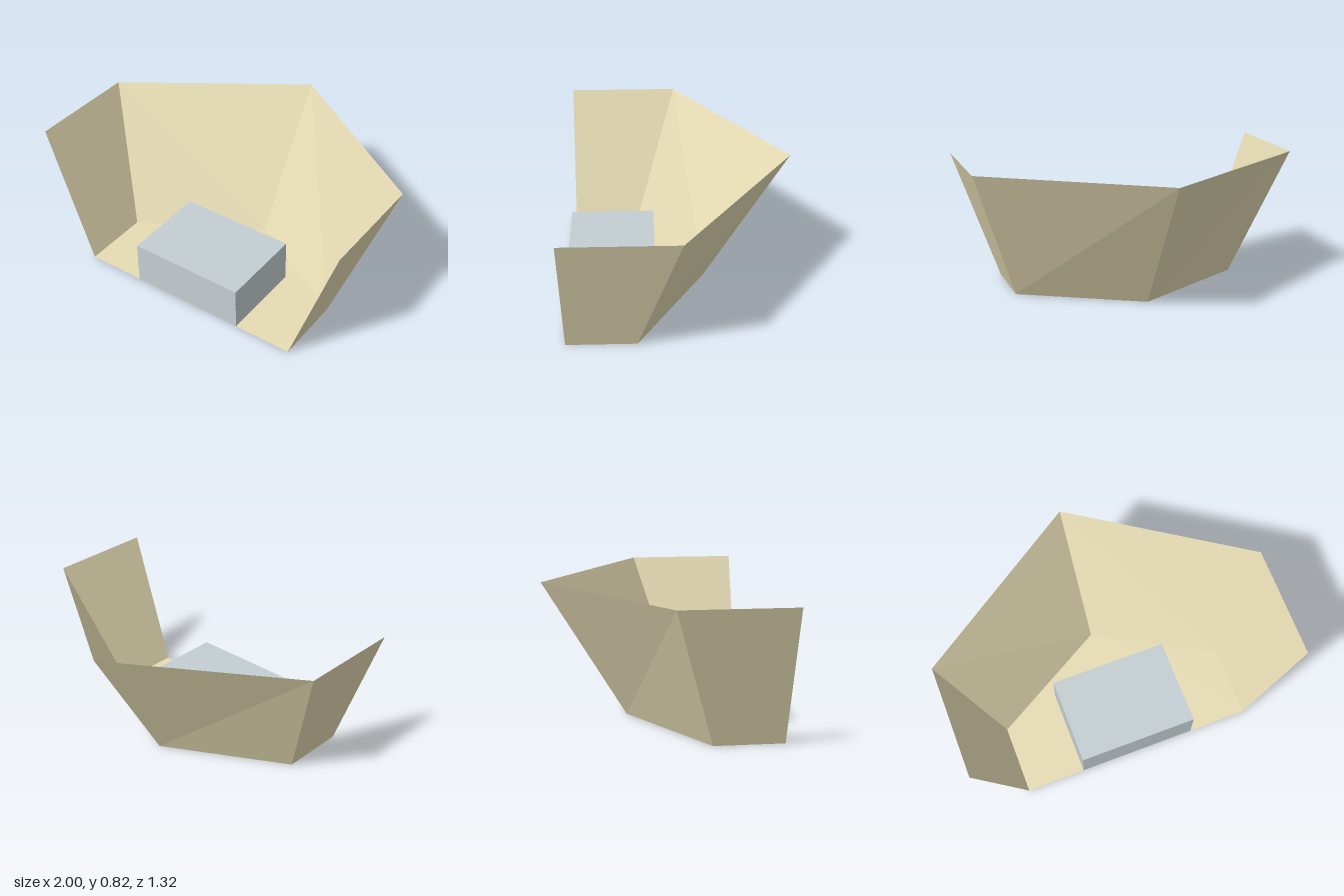
import * as THREE from 'three';

// Outline of the open-fronted shell as [x, z], from its right front edge round to its left
const FOOT = [[-0.71, 0.66], [-0.71, 0.25], [0, -0.155], [0.71, 0.25], [0.71, 0.66]];
const RIM = [[-1, 0.66], [-1, 0], [0, -0.66], [1, 0], [1, 0.66]];
const HEIGHT = 0.82;
const BLOCK = { halfWidth: 0.355, height: 0.26, back: 0.145, front: 0.66 };

function part(name, geometry, material) {
  const mesh = new THREE.Mesh(geometry, material);
  mesh.name = name;
  return mesh;
}

// One leaning panel between two neighbouring outline points, facing inwards
function panelGeometry(i) {
  const at = ([x, z], y) => [x, y, z];
  const b0 = at(FOOT[i], 0), b1 = at(FOOT[i + 1], 0);
  const t0 = at(RIM[i], HEIGHT), t1 = at(RIM[i + 1], HEIGHT);
  const geometry = new THREE.BufferGeometry();
  geometry.setAttribute('position',
    new THREE.Float32BufferAttribute([b0, b1, t0, b1, t1, t0].flat(), 3));
  geometry.computeVertexNormals();
  return geometry;
}

export function createModel() {
  const group = new THREE.Group();
  group.name = 'openShell';
  const sand = new THREE.MeshStandardMaterial({ color: 0xe6dcb4, flatShading: true, side: THREE.DoubleSide });
  const paleBlue = new THREE.MeshStandardMaterial({ color: 0xc4ced2, flatShading: true });

  // Walls
  ['rightWall', 'backRightWall', 'backLeftWall', 'leftWall'].forEach((name, i) => {
    group.add(part(name, panelGeometry(i), sand));
  });

  // Floor, notched at the front where the block stands
  const { halfWidth: w, height, back, front } = BLOCK;
  const outline = [...FOOT, [w, front], [w, back], [-w, back], [-w, front]];
  const floor = new THREE.ShapeGeometry(
    new THREE.Shape(outline.map(([x, z]) => new THREE.Vector2(x, -z))));
  floor.rotateX(-Math.PI / 2);
  group.add(part('floor', floor, sand));

  // Block
  const block = new THREE.BoxGeometry(2 * w, height, front - back);
  block.translate(0, height / 2, (front + back) / 2);
  group.add(part('block', block, paleBlue));

  return group;
}
